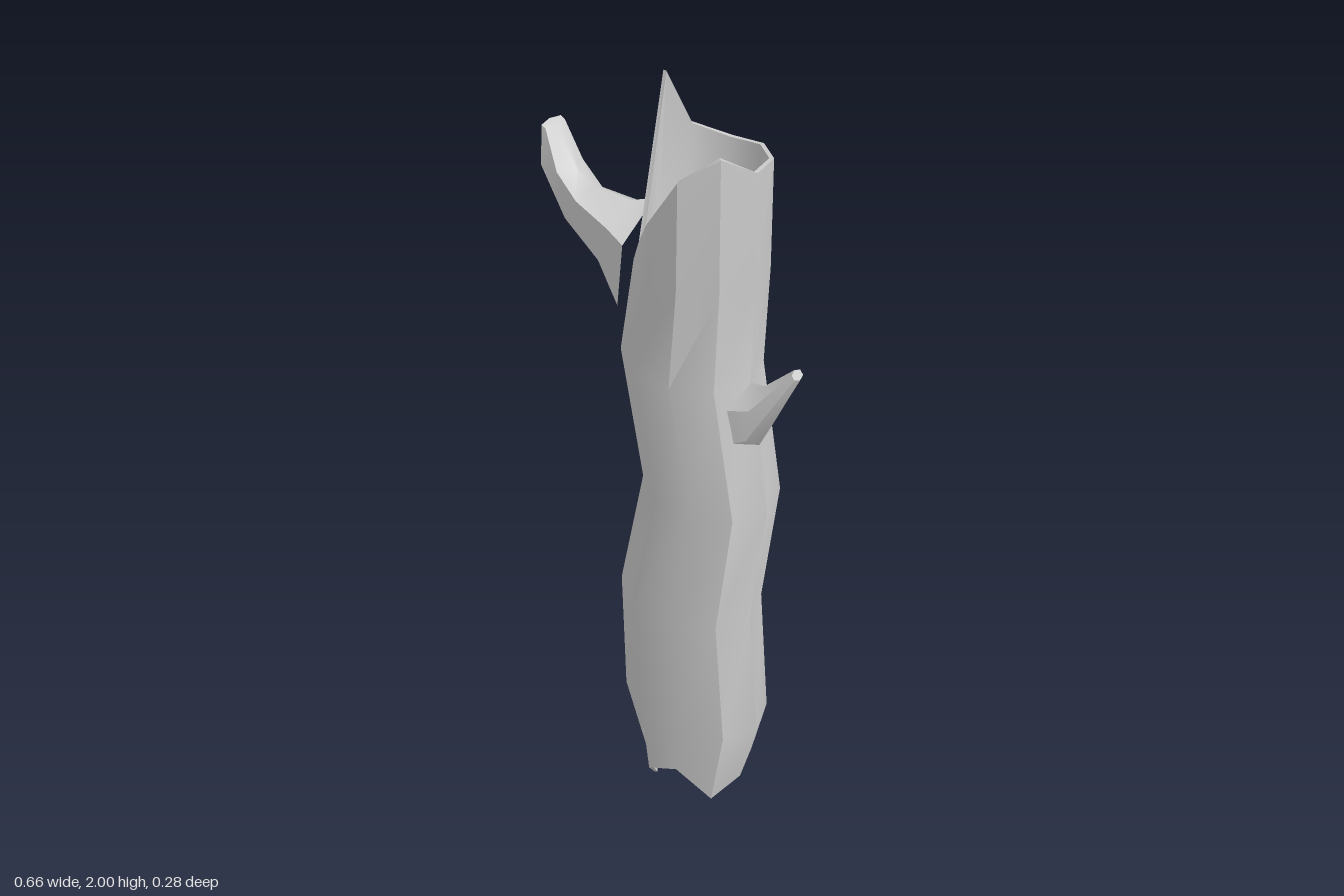
import * as THREE from 'three';
import { toCreasedNormals } from 'three/addons/utils/BufferGeometryUtils.js';

const SIDES = 10;

// Skin a list of rings (arrays of [x, y, z]) in order; an optional cap closes each end.
function loft(rings, capEnds = false) {
  const n = rings[0].length;
  const index = [];
  const points = rings.flat();
  for (let i = 0; i < rings.length - 1; i++) {
    for (let j = 0; j < n; j++) {
      const a = i * n + j, c = i * n + (j + 1) % n;
      index.push(a, a + n, c, c, a + n, c + n);
    }
  }
  if (capEnds) {
    const last = (rings.length - 1) * n;
    for (let j = 1; j < n - 1; j++) index.push(last, last + j + 1, last + j);
  }
  const geometry = new THREE.BufferGeometry();
  geometry.setAttribute('position', new THREE.Float32BufferAttribute(points.flat(), 3));
  geometry.setIndex(index);
  return geometry;
}

// Ten-sided trunk ring; y and scale may vary per corner.
function trunkRing(cx, rx, rz, y, scale = () => 1) {
  return Array.from({ length: SIDES }, (_, k) => {
    const a = (k / SIDES) * Math.PI * 2;
    const s = scale(k);
    return [cx + Math.cos(a) * rx * s, Array.isArray(y) ? y[k] : y, Math.sin(a) * rz * s];
  });
}

// Six-sided limb ring between a lower and an upper outline point.
function limbRing([lx, ly, ux, uy, z0, z1], side) {
  return Array.from({ length: 6 }, (_, k) => {
    const a = (k / 6) * Math.PI * 2;
    const t = (1 + Math.cos(a)) / 2;
    const w = Math.sin(a) / 0.866;
    return [lx + (ux - lx) * t, ly + (uy - ly) * t, (z0 + z1) / 2 - side * w * (z1 - z0) / 2];
  });
}

export function createModel() {
  const group = new THREE.Group();
  const material = new THREE.MeshStandardMaterial({ color: 0xcccccc });
  const add = (name, geometry, crease) => {
    const mesh = new THREE.Mesh(toCreasedNormals(geometry, crease), material);
    mesh.name = name;
    group.add(mesh);
  };

  // Splintered edge heights, starting at +x and turning towards +z
  const topEdge = [1.85, 1.905, 1.85, 1.72, 1.63, 2.0, 1.85, 1.82, 1.83, 1.84];
  const bottomEdge = [0.1, 0.06, 0.155, 0.1, 0, 0.1, 0.1, 0.1, 0.05, 0.12];
  const topScale = k => (k === 5 ? 0.83 : 1);
  const bottomScale = k => (k === 4 ? 0.75 : 1);

  // Bark: centre x, x radius, z radius, height
  const bark = [
    trunkRing(0.045, 0.15, 0.138, bottomEdge, bottomScale),
    ...[
      [0.045, 0.2, 0.147, 0.3],
      [0.027, 0.187, 0.147, 0.65],
      [0.088, 0.168, 0.147, 1.0],
      [0.027, 0.17, 0.147, 1.33],
      [0.055, 0.15, 0.147, 1.58],
    ].map(r => trunkRing(...r)),
    trunkRing(0.063, 0.14, 0.147, topEdge, topScale),
  ];
  add('trunk', loft(bark), 0.6);

  // Hollow at the top, with a thin rim and a dished floor
  add('topHollow', loft([
    trunkRing(0.063, 0.14, 0.147, topEdge, topScale),
    trunkRing(0.063, 0.13, 0.137, topEdge, topScale),
    trunkRing(0.055, 0.135, 0.133, 1.57),
    trunkRing(0.05, 0.1, 0.1, 1.46),
    trunkRing(0.05, 0.05, 0.05, 1.42),
    trunkRing(0.05, 0.001, 0.001, 1.41),
  ]), 0.9);

  // Hollow at the bottom
  add('bottomHollow', loft([
    trunkRing(0.045, 0.001, 0.001, 0.36),
    trunkRing(0.045, 0.12, 0.09, 0.34),
    trunkRing(0.045, 0.185, 0.133, 0.29),
    trunkRing(0.045, 0.14, 0.128, bottomEdge, bottomScale),
    trunkRing(0.045, 0.15, 0.138, bottomEdge, bottomScale),
  ]), 0.9);

  // Limbs: lower x, y, upper x, y, z range
  const branch = [
    [-0.105, 1.38, -0.068, 1.7, -0.08, 0.11],
    [-0.165, 1.51, -0.11, 1.69, -0.03, 0.11],
    [-0.26, 1.6, -0.19, 1.71, 0.03, 0.115],
    [-0.33, 1.74, -0.235, 1.735, 0.036, 0.118],
    [-0.317, 1.83, -0.295, 1.82, 0.045, 0.105],
  ];
  const twig = [
    [0.16, 1.12, 0.15, 1.32, -0.07, 0.07],
    [0.225, 1.17, 0.235, 1.335, -0.055, 0.05],
    [0.328, 1.39, 0.312, 1.41, -0.022, 0.008],
  ];
  // Each ring turns so its faces point outward on its own side
  add('branch', loft(branch.map(s => limbRing(s, -1)), true), 0.8);
  add('twig', loft(twig.map(s => limbRing(s, 1)), true), 0.6);

  return group;
}
